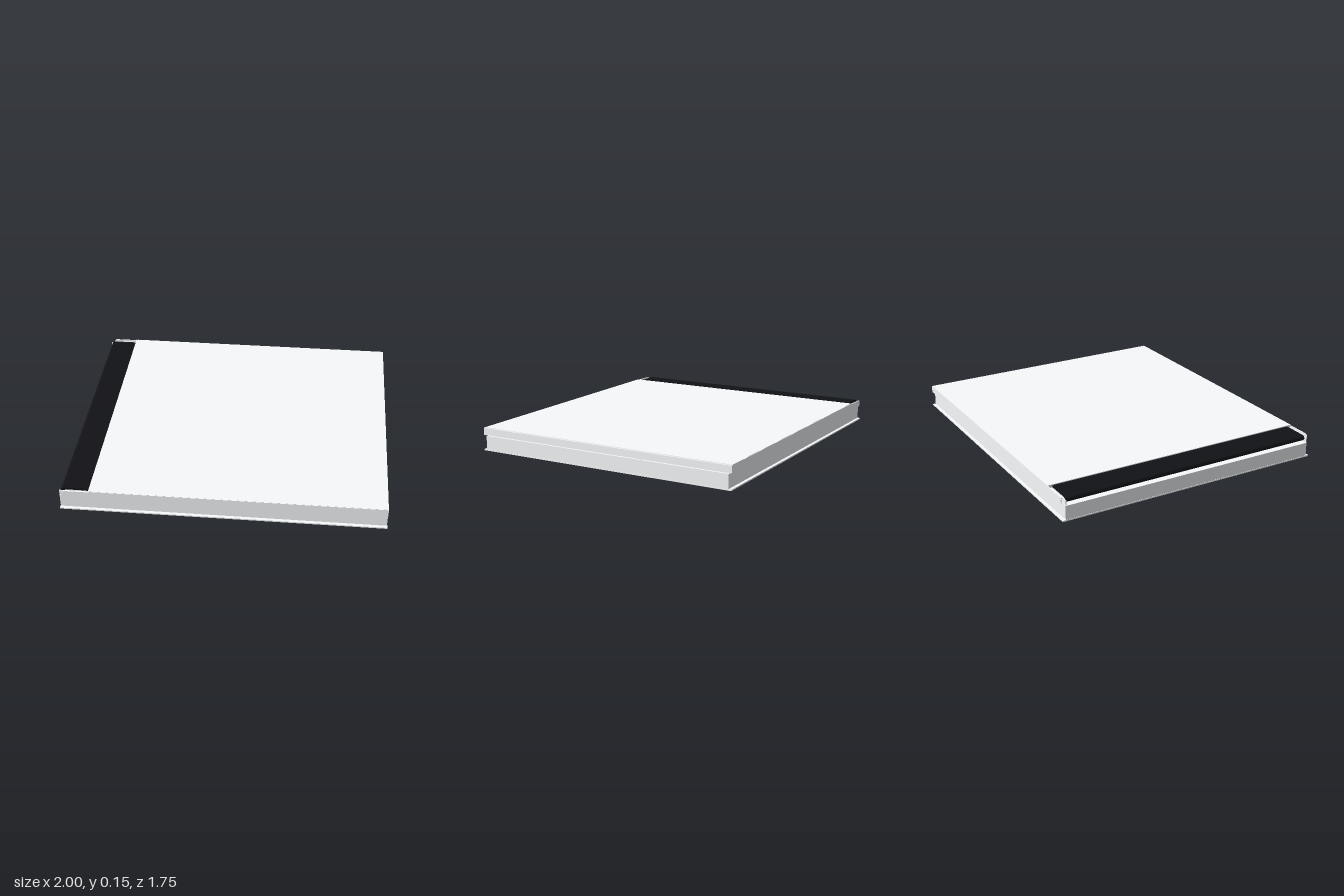
import * as THREE from 'three';

const white = new THREE.MeshStandardMaterial({ color: 0xf8fafc });
const black = new THREE.MeshStandardMaterial({ color: 0x111216 });

export function createModel() {
  const model = new THREE.Group();

  // Box given by its limits on each axis
  const box = (name, [x0, x1], [y0, y1], [z0, z1]) => {
    const mesh = new THREE.Mesh(new THREE.BoxGeometry(x1 - x0, y1 - y0, z1 - z0), white);
    mesh.position.set((x0 + x1) / 2, (y0 + y1) / 2, (z0 + z1) / 2);
    mesh.name = name;
    model.add(mesh);
  };

  // Side profile in x and y, extruded along z
  const profile = (name, points, [z0, z1], material = white) => {
    const shape = new THREE.Shape(points.map(p => new THREE.Vector2(...p)));
    const geometry = new THREE.ExtrudeGeometry(shape, { depth: z1 - z0, bevelEnabled: false });
    const mesh = new THREE.Mesh(geometry, material);
    mesh.position.z = z0;
    mesh.name = name;
    model.add(mesh);
  };

  // Lower frame on a flanged base plate
  box('basePlate', [-1, 0.998], [0, 0.008], [-0.877, 0.877]);
  box('lowerFrame', [-0.998, 0.996], [0.008, 0.096], [-0.858, 0.858]);

  // Raised deck; its core is set back to leave a seam above the frame
  profile('deckPlate', [
    [-0.815, 0.128], [0.985, 0.128], [0.985, 0.148], [-0.815, 0.148],
  ], [-0.874, 0.874]);
  box('deckCore', [-0.955, 0.982], [0.094, 0.13], [-0.845, 0.845]);
  box('endSkirt', [0.984, 0.996], [0.101, 0.145], [-0.874, 0.874]);

  // Black lip, its nose turned down at the free end
  profile('lip', [
    [-0.815, 0.128], [-0.815, 0.143], [-0.972, 0.143], [-0.985, 0.137],
    [-0.99, 0.125], [-0.982, 0.112], [-0.97, 0.112], [-0.968, 0.128],
  ], [-0.845, 0.845], black);

  // Side skirts: outer plate, inner plate and the channel web between
  for (const side of [-1, 1]) {
    const span = (a, b) => side > 0 ? [a, b] : [-b, -a];
    profile('sideSkirt', [
      [-0.965, 0.1], [0.996, 0.1], [0.996, 0.145], [0.985, 0.147],
      [-0.805, 0.147], [-0.815, 0.143], [-0.965, 0.143], [-0.978, 0.13],
      [-0.978, 0.108],
    ], span(0.872, 0.877));
    box('innerSkirt', [-0.998, 0.984], [0.1, 0.13], span(0.852, 0.857));
    box('skirtWeb', [-0.96, 0.984], [0.125, 0.13], span(0.856, 0.873));
    box('skirtFoot', [-0.96, 0.984], [0.1, 0.104], span(0.864, 0.873));
    // Small stop tabs on the far end
    box('stopTab', [0.99, 0.998], [0.1, 0.107], span(0.252, 0.284));
  }

  return model;
}
